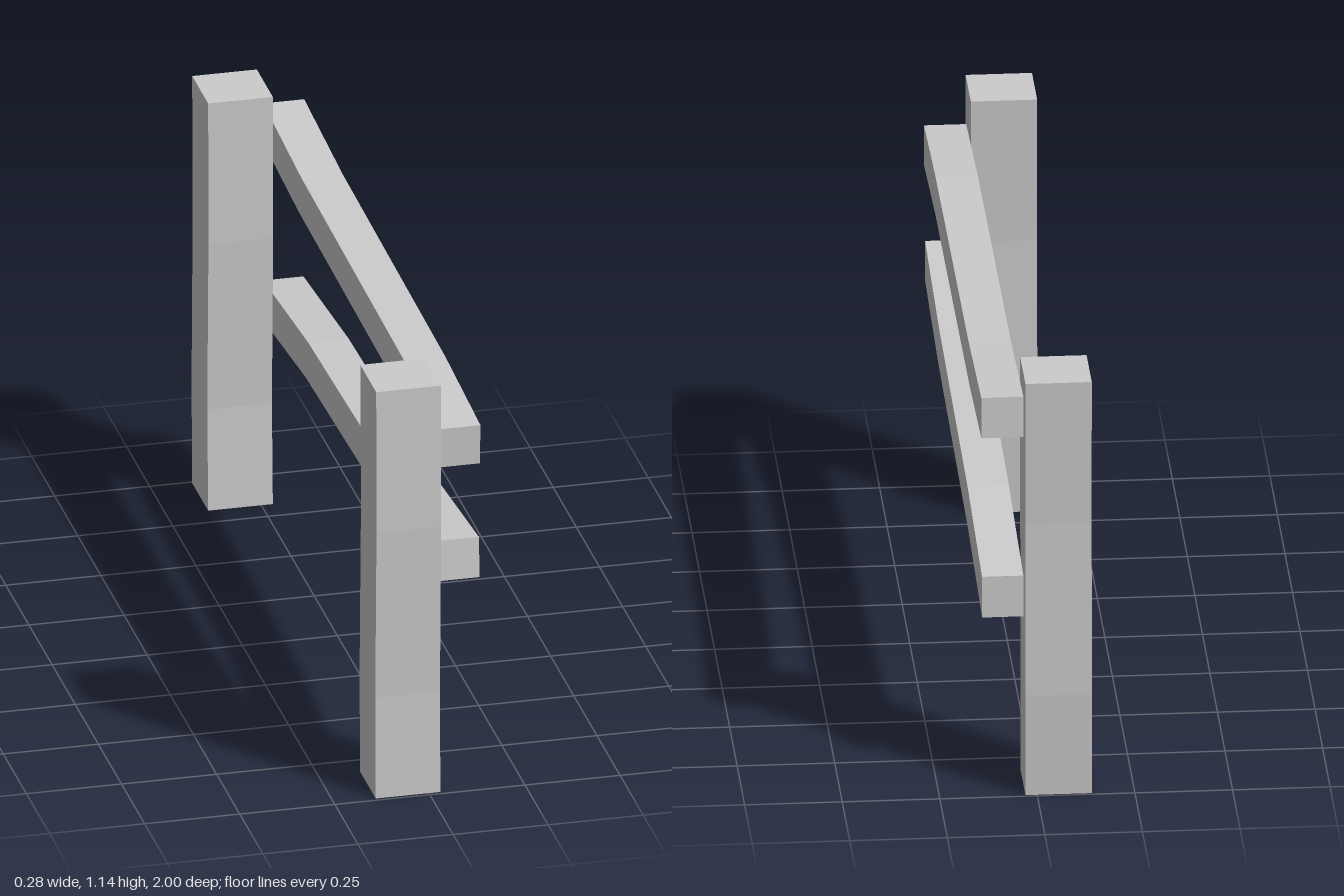
import * as THREE from 'three';

const material = new THREE.MeshStandardMaterial({ color: 0xcccccc, flatShading: true });

// Timber beam: side outline given as [z, y] corners, extruded from x0 to x1
function beam(name, outline, x0, x1) {
  const shape = new THREE.Shape(outline.map(([z, y]) => new THREE.Vector2(z, y)));
  const geometry = new THREE.ExtrudeGeometry(shape, { depth: x1 - x0, bevelEnabled: false });
  geometry.rotateY(-Math.PI / 2).translate(x1, 0, 0);
  const mesh = new THREE.Mesh(geometry, material);
  mesh.name = name;
  return mesh;
}

// Post: slightly wavering sides, rows of [y, zMin, zMax]
function post(name, rows) {
  const outline = [
    ...rows.map(([y, , zMax]) => [zMax, y]),
    ...rows.map(([y, zMin]) => [zMin, y]).reverse(),
  ];
  return beam(name, outline, -0.14, 0.03);
}

export function createModel() {
  const group = new THREE.Group();
  group.name = 'fenceSection';

  // Two upright posts
  group.add(post('frontPost', [
    [0, 0.82, 0.99], [0.28, 0.815, 0.985], [0.75, 0.83, 0.998], [1.145, 0.823, 0.995],
  ]));
  group.add(post('backPost', [
    [0, -0.993, -0.82], [0.28, -1.0, -0.83], [0.75, -0.988, -0.817], [1.145, -0.993, -0.82],
  ]));

  // Two bent rails fixed to the side of the posts
  group.add(beam('upperRail', [
    [0.979, 1.015], [0.6, 1.038], [-0.51, 1.055], [-0.925, 1.08],
    [-0.93, 0.97], [-0.545, 0.947], [0.6, 0.93], [0.973, 0.905],
  ], 0.03, 0.138));
  group.add(beam('lowerRail', [
    [0.97, 0.697], [0.5, 0.655], [-0.44, 0.625], [-0.925, 0.582],
    [-0.928, 0.47], [-0.465, 0.515], [0.535, 0.547], [0.979, 0.588],
  ], 0.03, 0.136));

  return group;
}
